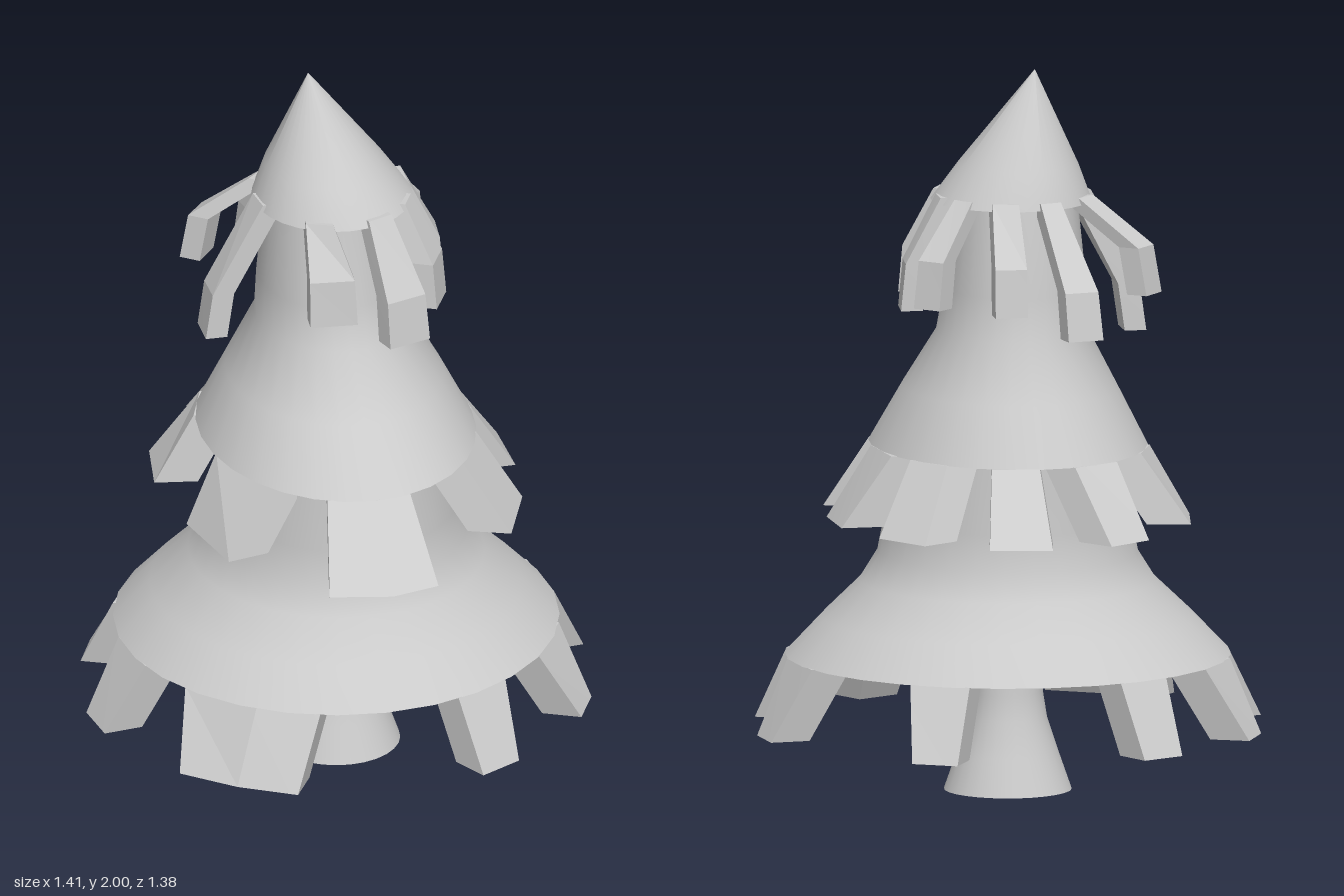
import * as THREE from 'three';
import { toCreasedNormals } from 'three/addons/utils/BufferGeometryUtils.js';

const material = new THREE.MeshStandardMaterial({ color: 0xcccccc });

// Skin a stack of equal-length rings, lowest first, and cap both ends.
function loft(name, rings, crease) {
  const n = rings[0].length, last = (rings.length - 1) * n, index = [];
  for (let r = 0; r < rings.length - 1; r++) {
    for (let j = 0; j < n; j++) {
      const a = r * n + j, b = r * n + (j + 1) % n;
      index.push(a, a + n, b + n, a, b + n, b);
    }
  }
  for (let j = 1; j < n - 1; j++) {
    index.push(0, j, j + 1, last, last + j + 1, last + j);
  }
  const geometry = new THREE.BufferGeometry();
  geometry.setAttribute('position', new THREE.Float32BufferAttribute(rings.flat(2), 3));
  geometry.setIndex(index);
  const mesh = new THREE.Mesh(toCreasedNormals(geometry, crease), material);
  mesh.name = name;
  return mesh;
}

// Horizontal ellipse: height, centre x, centre z, radius x, radius z.
function ellipse([y, cx, cz, rx, rz], n = 28) {
  return Array.from({ length: n }, (_, i) => {
    const a = (i / n) * Math.PI * 2;
    return [cx + rx * Math.cos(a), y, cz + rz * Math.sin(a)];
  });
}

// Four-cornered section from an outer edge, thickened inward.
function slab(y, ax, az, bx, bz, ox, oz) {
  return [[ax, y, az], [bx, y, bz], [bx - ox, y, bz - oz], [ax - ox, y, az - oz]];
}

// Hanging fringe piece: bottom edge a-b, top edge c-d, optional bend near the bottom.
function fringe(name, [ax, az, bx, bz, cx, cz, dx, dz], low, high, thick, kneeY) {
  const len = Math.hypot(bx - ax, bz - az);
  const ox = ((bz - az) / len) * thick, oz = (-(bx - ax) / len) * thick;
  const rings = [slab(low, ax, az, bx, bz, ox, oz)];
  if (kneeY) {
    const mix = (p, q) => p + (q - p) * 0.88;
    rings.push(slab(kneeY, mix(cx, ax), mix(cz, az), mix(dx, bx), mix(dz, bz), ox, oz));
  }
  rings.push(slab(high, cx, cz, dx, dz, ox, oz));
  return loft(name, rings, 0.1);
}

const lowerFringe = [
  [0.69, -0.18, 0.705, -0.05, 0.58, -0.2, 0.61, 0.01],
  [0.655, 0.26, 0.6, 0.375, 0.58, 0.19, 0.48, 0.37],
  [0.375, 0.59, 0.26, 0.655, 0.36, 0.49, 0.21, 0.57],
  [-0.26, 0.655, -0.41, 0.57, -0.18, 0.58, -0.34, 0.5],
  [-0.41, 0.57, -0.545, 0.455, -0.34, 0.5, -0.5, 0.33],
  [-0.69, 0.175, -0.71, 0.04, -0.58, 0.19, -0.61, 0],
  [-0.655, -0.265, -0.6, -0.385, -0.58, -0.2, -0.48, -0.37],
  [-0.375, -0.6, -0.26, -0.66, -0.35, -0.49, -0.21, -0.57],
  [0.26, -0.66, 0.375, -0.6, 0.21, -0.57, 0.36, -0.49],
];

const middleFringe = [
  [0.5, -0.21, 0.505, -0.01, 0.36, -0.2, 0.38, 0],
  [0.48, 0.18, 0.4, 0.39, 0.36, 0.14, 0.28, 0.31],
  [0.135, 0.65, 0, 0.685, 0.1, 0.46, 0, 0.48],
  [0, 0.685, -0.17, 0.65, 0, 0.48, -0.13, 0.45],
  [-0.39, 0.38, -0.45, 0.13, -0.26, 0.32, -0.36, 0.1],
  [-0.48, -0.13, -0.45, -0.32, -0.37, -0.13, -0.32, -0.27],
  [-0.29, -0.56, -0.17, -0.65, -0.23, -0.4, -0.1, -0.48],
  [0, -0.69, 0.17, -0.66, 0, -0.49, 0.13, -0.47],
  [0.33, -0.55, 0.43, -0.4, 0.24, -0.39, 0.32, -0.27],
];

// The last number of each is the height of the tip.
const upperFringe = [
  [0.32, -0.13, 0.31, -0.03, 0.21, -0.13, 0.21, -0.05, 1.35],
  [0.29, 0.08, 0.24, 0.18, 0.2, 0.04, 0.17, 0.1, 1.37],
  [0.2, 0.27, 0.08, 0.31, 0.12, 0.15, 0.05, 0.18, 1.33],
  [0, 0.26, -0.13, 0.25, -0.05, 0.18, -0.12, 0.15, 1.39],
  [-0.37, 0.02, -0.37, -0.08, -0.21, 0.02, -0.22, -0.06, 1.27],
  [-0.385, -0.23, -0.33, -0.3, -0.21, -0.15, -0.16, -0.2, 1.4],
  [-0.18, -0.47, -0.08, -0.49, -0.1, -0.26, -0.04, -0.28, 1.31],
  [0.02, -0.42, 0.11, -0.42, 0.02, -0.28, 0.09, -0.26, 1.37],
  [0.25, -0.33, 0.31, -0.27, 0.14, -0.22, 0.18, -0.17, 1.38],
];

export function createModel() {
  const tree = new THREE.Group();
  tree.name = 'pineTree';

  // Flared trunk
  tree.add(loft('trunk', [
    [0, 0, 0, 0.175, 0.175], [0.1, 0, 0, 0.14, 0.14], [0.2, 0, 0, 0.107, 0.107],
    [0.27, 0, 0, 0.096, 0.096], [0.4, 0, 0, 0.09, 0.09],
  ].map((r) => ellipse(r)), 0.7));

  // Three tiers of foliage with flat ledges and a leaning tip
  tree.add(loft('foliage', [
    [0.375, 0, 0, 0.61, 0.61],
    [0.48, 0, 0, 0.51, 0.52],
    [0.58, 0, 0, 0.405, 0.43],
    [0.66, 0, 0, 0.355, 0.395],
    [0.76, 0, 0, 0.335, 0.387],
    [0.96, 0, 0, 0.31, 0.38],
    [0.96, 0, -0.005, 0.378, 0.485],
    [1.12, 0, -0.03, 0.295, 0.37],
    [1.28, -0.003, -0.055, 0.207, 0.257],
    [1.4, -0.01, -0.06, 0.193, 0.24],
    [1.64, -0.015, -0.055, 0.165, 0.2],
    [1.64, 0, -0.05, 0.22, 0.235],
    [1.74, -0.017, -0.06, 0.165, 0.185],
    [2, -0.06, -0.08, 0.001, 0.001],
  ].map((r) => ellipse(r)), 0.7));

  // Hanging fringe around each tier
  for (const f of lowerFringe) tree.add(fringe('lowerFringe', f, 0.175, 0.376, 0.11));
  for (const f of middleFringe) tree.add(fringe('middleFringe', f, 0.768, 0.961, 0.12));
  for (const f of upperFringe) tree.add(fringe('upperFringe', f, f[8], 1.66, 0.06, f[8] + 0.13));

  return tree;
}
